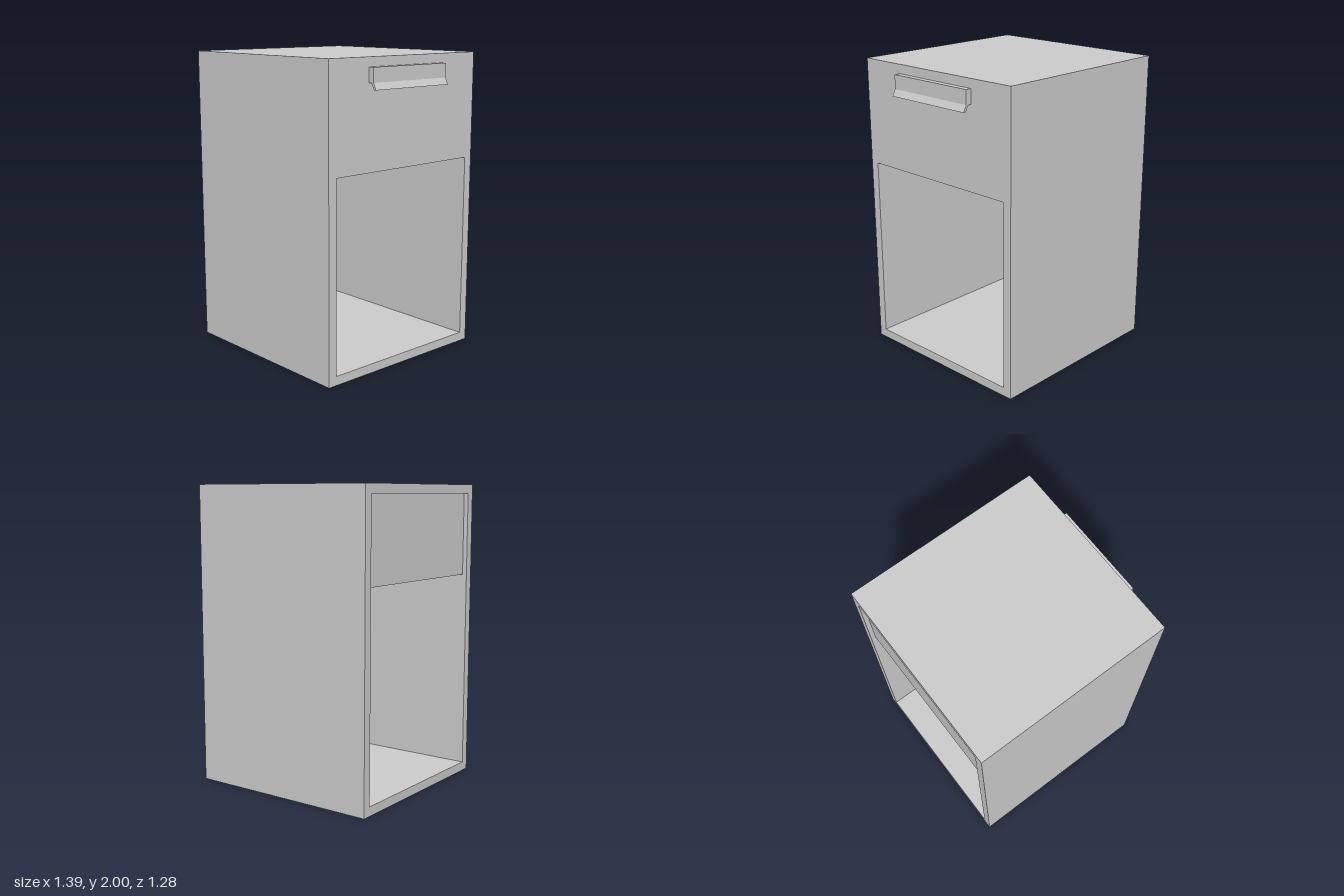
import * as THREE from 'three';

export function createModel() {
  const group = new THREE.Group();
  const material = new THREE.MeshStandardMaterial({ color: 0xcccccc, flatShading: true });

  const add = (name, geometry) => {
    const mesh = new THREE.Mesh(geometry, material);
    mesh.name = name;
    group.add(mesh);
  };

  // box given by its lower and upper corners
  const boxBetween = (x0, y0, z0, x1, y1, z1) =>
    new THREE.BoxGeometry(x1 - x0, y1 - y0, z1 - z0)
      .translate((x0 + x1) / 2, (y0 + y1) / 2, (z0 + z1) / 2);

  const rectangle = (Type, halfWidth, y0, y1) => new Type([
    new THREE.Vector2(-halfWidth, y0), new THREE.Vector2(halfWidth, y0),
    new THREE.Vector2(halfWidth, y1), new THREE.Vector2(-halfWidth, y1),
  ]);

  // cabinet shell: a rectangular sleeve, open at both x ends
  const back = -0.695, front = 0.63, inner = 0.58;
  const sleeve = rectangle(THREE.Shape, 0.64, 0, 2);
  sleeve.holes.push(rectangle(THREE.Path, inner, 0.06, 1.94));
  add('cabinetShell', new THREE.ExtrudeGeometry(sleeve, { depth: front - back, bevelEnabled: false })
    .rotateY(Math.PI / 2).translate(back, 0, 0));

  // drawer: flush front panel hanging below the box behind it
  add('drawerFront', boxBetween(front - 0.02, 1.3, -inner, front, 1.94, inner));
  add('drawerBox', boxBetween(back + 0.03, 1.39, -inner, front - 0.02, 1.94, inner));

  // pull handle: a bar with a lip flaring outwards at the bottom
  const profile = new THREE.Shape([
    [0.63, 1.845], [0.652, 1.845], [0.675, 1.805], [0.692, 1.805],
    [0.67, 1.848], [0.67, 1.94], [0.63, 1.94],
  ].map(([x, y]) => new THREE.Vector2(x, y)));
  add('drawerHandle', new THREE.ExtrudeGeometry(profile, { depth: 0.64, bevelEnabled: false })
    .translate(0, 0, -0.32));

  return group;
}
